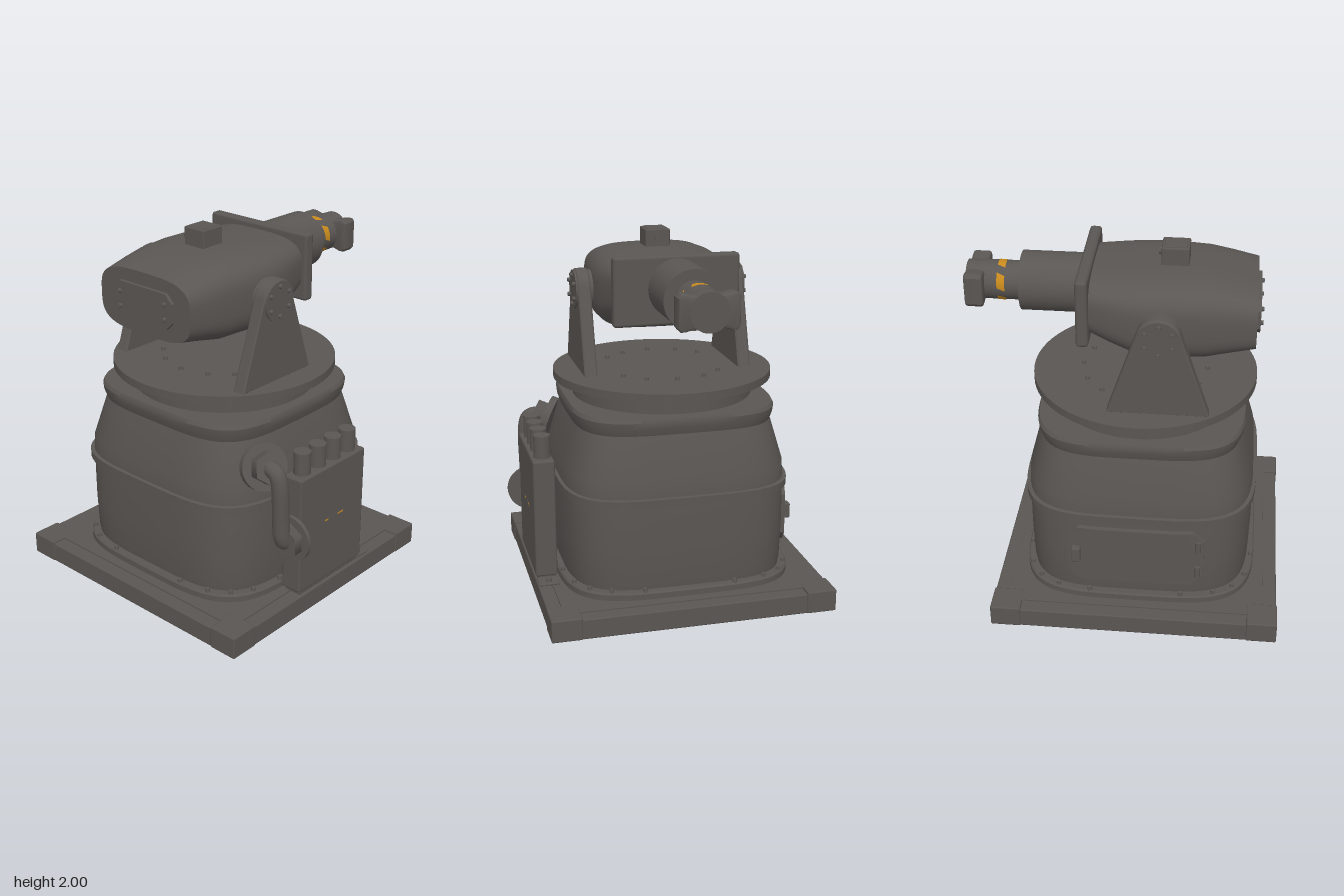
import * as THREE from 'three';
import { toCreasedNormals } from 'three/addons/utils/BufferGeometryUtils.js';
import { RoundedBoxGeometry } from 'three/addons/geometries/RoundedBoxGeometry.js';

const V = (x, y, z) => new THREE.Vector3(x, y, z);
const UP = V(0, 1, 0);

export function createModel() {
  const metal = new THREE.MeshStandardMaterial({ color: 0x5a5653 });
  metal.name = 'darkMetal';
  const orange = new THREE.MeshStandardMaterial({ color: 0xc88a1c });
  orange.name = 'warningOrange';

  const root = new THREE.Group();
  root.name = 'turret';
  const rig = new THREE.Group();
  rig.name = 'assembly';
  rig.position.set(-0.037, 0, 0.08);
  root.add(rig);

  const add = (name, geo, x = 0, y = 0, z = 0, mat = metal) => {
    const m = new THREE.Mesh(geo, mat);
    m.name = name;
    m.position.set(x, y, z);
    rig.add(m);
    return m;
  };
  const box = (name, w, h, d, x, y, z, r = 0.008) =>
    add(name, new RoundedBoxGeometry(w, h, d, 1, Math.min(r, w / 3, h / 3, d / 3)), x, y, z);
  // Cylinder centred at p, its axis along dir
  const cyl = (name, r, len, p, dir = UP, sides = 40, r2 = r) => {
    const m = add(name, new THREE.CylinderGeometry(r2, r, len, sides), p.x, p.y, p.z);
    m.quaternion.setFromUnitVectors(UP, dir.clone().normalize());
    return m;
  };
  const bolt = (p, dir = UP, r = 0.014, len = 0.024) => cyl('bolt', r, len, p, dir, 8, r * 0.8);
  const outline = (pts) => new THREE.Shape(pts.map(([x, y]) => new THREE.Vector2(x, y)));

  const superPoint = (t, a, b, n) => {
    const c = Math.cos(t), s = Math.sin(t);
    return [Math.sign(c) * a * Math.abs(c) ** (2 / n), Math.sign(s) * b * Math.abs(s) ** (2 / n)];
  };
  // Skin through rounded-square sections [z, halfWidth, halfHeight, centreY], capped
  const loft = (sections, n, seg = 64) => {
    const pos = [], idx = [];
    for (const [z, a, b, cy] of sections)
      for (let j = 0; j < seg; j++) {
        const [x, y] = superPoint((j / seg) * Math.PI * 2, a, b, n);
        pos.push(x, y + cy, z);
      }
    const last = sections.length - 1;
    for (let i = 0; i < last; i++)
      for (let j = 0; j < seg; j++) {
        const k = (j + 1) % seg, p = i * seg, q = p + seg;
        idx.push(p + j, p + k, q + k, p + j, q + k, q + j);
      }
    for (const [i, flip] of [[0, true], [last, false]]) {
      const c = pos.length / 3;
      pos.push(0, sections[i][3], sections[i][0]);
      for (let j = 0; j < seg; j++) {
        const p = i * seg + j, q = i * seg + ((j + 1) % seg);
        idx.push(c, flip ? q : p, flip ? p : q);
      }
    }
    const g = new THREE.BufferGeometry();
    g.setAttribute('position', new THREE.Float32BufferAttribute(pos, 3));
    g.setIndex(idx);
    return toCreasedNormals(g, 0.55);
  };
  const upright = (rows, n) => loft(rows.map(([y, a]) => [y, a, a, 0]), n).rotateX(-Math.PI / 2);

  // Base: open-bottomed frame, corner blocks and deck
  for (const s of [-1, 1]) {
    box('baseBar', 1.25, 0.114, 0.088, 0, 0.057, s * 0.738);
    box('baseBar', 0.088, 0.114, 1.25, s * 0.738, 0.057, 0);
    for (const t of [-1, 1]) box('cornerBlock', 0.167, 0.125, 0.167, s * 0.7035, 0.0625, t * 0.7035);
  }
  box('deck', 1.41, 0.03, 1.41, 0, 0.108, 0, 0.002);

  // Body shell, foot flange and belt
  add('footFlange', upright([[0.12, 0.652], [0.155, 0.652], [0.165, 0.645]], 4));
  add('body', upright([[0.15, 0.608], [0.2, 0.615], [0.4, 0.621], [0.66, 0.621], [0.77, 0.616],
    [1.01, 0.549], [1.05, 0.562], [1.085, 0.566], [1.105, 0.557]], 4));
  add('belt', upright([[0.64, 0.615], [0.642, 0.639], [0.683, 0.639], [0.685, 0.615]], 4));
  for (let i = 0; i < 20; i++) {
    const [x, z] = superPoint(((i + 0.5) / 20) * Math.PI * 2, 0.635, 0.635, 4);
    bolt(V(x, 0.172, z));
  }

  // Bearing rings and turntable
  cyl('bearingRing', 0.503, 0.08, V(0, 1.13, 0), UP, 64);
  cyl('bearingCap', 0.48, 0.01, V(0, 1.172, 0), UP, 64);
  cyl('neck', 0.37, 0.05, V(0, 1.185, 0), UP, 48);
  cyl('turntable', 0.61, 0.045, V(0, 1.2225, 0), UP, 72);
  for (let i = 0; i < 12; i++) {
    const a = ((i + 0.5) / 12) * Math.PI * 2;
    bolt(V(0.44 * Math.cos(a), 1.18, 0.44 * Math.sin(a)));
  }
  for (const s of [-1, 1])
    for (const d of [-52, -28, 0, 28, 52]) {
      const a = (d * Math.PI) / 180;
      bolt(V(0.34 * Math.sin(a), 1.25, s * 0.34 * Math.cos(a)));
    }

  // Yoke arms: tapered plates with rounded tops, drawn in (-z, y)
  const R = 0.115, tilt = 0.2;
  const arm = new THREE.Shape();
  arm.moveTo(-0.267, 1.24);
  arm.lineTo(0.267, 1.24);
  arm.lineTo(R * Math.cos(tilt), 1.68 + R * Math.sin(tilt));
  arm.absarc(0, 1.68, R, tilt, Math.PI - tilt, false);
  arm.closePath();
  const armGeo = toCreasedNormals(new THREE.ExtrudeGeometry(arm, {
    depth: 0.056, bevelEnabled: true, bevelSize: 0.008, bevelThickness: 0.008, bevelOffset: -0.008,
    bevelSegments: 1, curveSegments: 20,
  }).translate(0, 0, -0.028).rotateY(Math.PI / 2), 0.5);
  for (const s of [-1, 1]) {
    add('yokeArm', armGeo, s * 0.435, 0, 0.1);
    cyl('yokeHub', 0.107, 0.096, V(s * 0.432, 1.68, 0.1), V(s, 0, 0));
    cyl('trunnion', 0.07, 0.14, V(s * 0.36, 1.68, 0.1), V(s, 0, 0));
    for (let i = 0; i < 6; i++) {
      const a = (i / 6) * Math.PI * 2 + Math.PI / 6;
      bolt(V(s * 0.484, 1.68 + 0.08 * Math.sin(a), 0.1 + 0.08 * Math.cos(a)), V(s, 0, 0), 0.014);
    }
  }

  // Gun housing
  add('gunHousing', loft([[-0.28, 0.315, 0.158, 1.727], [-0.16, 0.347, 0.187, 1.705], [-0.07, 0.366, 0.207, 1.69],
    [0.02, 0.377, 0.219, 1.681], [0.16, 0.377, 0.222, 1.68], [0.33, 0.36, 0.218, 1.678], [0.45, 0.343, 0.195, 1.68],
    [0.588, 0.322, 0.167, 1.678]], 3.4));
  box('collar', 0.69, 0.375, 0.066, 0, 1.732, -0.302, 0.018);

  // Rear access panel with clipped corners
  const panel = outline([[-0.165, -0.095], [0.165, -0.095], [0.212, -0.05], [0.212, 0.05], [0.165, 0.095],
    [-0.165, 0.095], [-0.212, 0.05], [-0.212, -0.05]]);
  add('housingPanel', new THREE.ExtrudeGeometry(panel, { depth: 0.025, bevelEnabled: false }), 0, 1.68, 0.582);
  for (const s of [-1, 1])
    for (const t of [-1, 1]) bolt(V(s * 0.16, 1.68 + t * 0.04, 0.612), V(0, 0, 1), 0.014, 0.02);

  // Sight box on top
  box('sight', 0.14, 0.12, 0.145, 0, 1.936, 0.155);
  box('sightLid', 0.115, 0.012, 0.115, 0, 1.994, 0.155, 0.003);
  cyl('sightKnob', 0.02, 0.02, V(0, 1.95, 0.077), V(0, 0, 1), 12);

  // Barrel and muzzle
  const back = V(0, 0, -1);
  cyl('barrelSleeve', 0.158, 0.33, V(0, 1.745, -0.49), back, 48);
  cyl('barrel', 0.104, 0.24, V(0, 1.742, -0.75), back, 40);
  cyl('muzzleCore', 0.102, 0.1, V(0, 1.742, -0.895), back, 32);
  const muzzle = outline([[-0.158, -0.075], [-0.143, -0.093], [-0.12, -0.093], [-0.08, -0.082], [0.08, -0.082],
    [0.12, -0.093], [0.143, -0.093], [0.158, -0.075], [0.158, 0.075], [0.143, 0.093], [0.12, 0.093],
    [0.08, 0.082], [-0.08, 0.082], [-0.12, 0.093], [-0.143, 0.093], [-0.158, 0.075]]);
  add('muzzleBlock', toCreasedNormals(new THREE.ExtrudeGeometry(muzzle, {
    depth: 0.072, bevelEnabled: true, bevelSize: 0.014, bevelThickness: 0.014, bevelOffset: -0.014, bevelSegments: 2,
  }), 0.6), 0, 1.742, -0.93);

  // Slanted warning stripes wrapped on the barrel
  for (let i = 0; i < 5; i++) {
    const g = new THREE.PlaneGeometry(0.8, 0.042, 8, 2);
    const p = g.attributes.position;
    for (let j = 0; j < p.count; j++) {
      const v = p.getY(j), a = p.getX(j) + v * 4 + (i * Math.PI * 2) / 5;
      p.setXYZ(j, 0.107 * Math.sin(a), 0.107 * Math.cos(a), -v);
    }
    g.computeVertexNormals();
    add('warningStripe', g, 0, 1.742, -0.758, orange);
  }

  // Side equipment box with four canisters
  box('equipmentBox', 0.122, 0.675, 0.54, 0.724, 0.4825, 0, 0.012);
  box('boxFoot', 0.1, 0.03, 0.5, 0.724, 0.135, 0);
  box('boxTab', 0.115, 0.012, 0.1, 0.722, 0.13, -0.3);
  bolt(V(0.722, 0.143, -0.312), UP, 0.018);
  for (const z of [-0.1875, -0.0625, 0.0625, 0.1875])
    cyl('canister', 0.046, 0.14, V(0.72, 0.875, z), UP, 24);
  add('boxSlot', new THREE.BoxGeometry(0.004, 0.014, 0.2), 0.7845, 0.505, -0.005);
  for (const [z, w] of [[0.05, 0.03], [-0.067, 0.045]])
    add('boxMark', new THREE.BoxGeometry(0.004, 0.008, w), 0.7855, 0.505, z, orange);

  // Hose from the body to the box, with flanges and hex nuts
  const n1 = V(0.87, 0.32, 0.38).normalize(), c1 = V(0.594, 0.872, 0.347), front = V(0, 0, 1);
  cyl('bodyFlange', 0.128, 0.04, c1, n1, 32);
  cyl('bodyNut', 0.088, 0.07, c1.clone().addScaledVector(n1, 0.05), n1, 6);
  cyl('boxFlange', 0.128, 0.022, V(0.73, 0.475, 0.28), front, 40);
  cyl('boxNut', 0.095, 0.06, V(0.73, 0.475, 0.315), front, 6);
  const path = new THREE.CatmullRomCurve3([c1, V(0.66, 0.893, 0.37), V(0.708, 0.878, 0.376), V(0.727, 0.82, 0.374),
    V(0.729, 0.6, 0.362), V(0.73, 0.515, 0.355), V(0.73, 0.478, 0.335), V(0.73, 0.475, 0.28)]);
  add('hose', new THREE.TubeGeometry(path, 48, 0.046, 10));

  // Side hatch: clipped-corner plate that follows the curve of the body wall
  const wall = (z) => 0.617 * (1 - (z / 0.617) ** 4) ** 0.25;
  const rows = [[0.6, 0.31], [0.6, 0.31], [0.54, 0.37], [0.31, 0.37], [0.25, 0.31], [0.25, 0.31]];
  const hatch = new THREE.PlaneGeometry(2, 1, 18, rows.length - 1);
  const hp = hatch.attributes.position;
  for (let j = 0; j < hp.count; j++) {
    const col = j % 19, row = Math.floor(j / 19), [y, half] = rows[row];
    const border = col === 0 || col === 18 || row === 0 || row === rows.length - 1;
    const z = THREE.MathUtils.clamp((col - 9) / 8, -1, 1) * half;
    hp.setXYZ(j, -wall(z) + (border ? 0.02 : -0.03), y, z);
  }
  add('hatch', toCreasedNormals(hatch, 0.5));
  box('hatchHandle', 0.05, 0.09, 0.05, -0.643, 0.43, -0.32);
  for (const y of [0.34, 0.51]) cyl('hatchHinge', 0.016, 0.07, V(-0.632, y, 0.34), UP, 12);

  return root;
}
